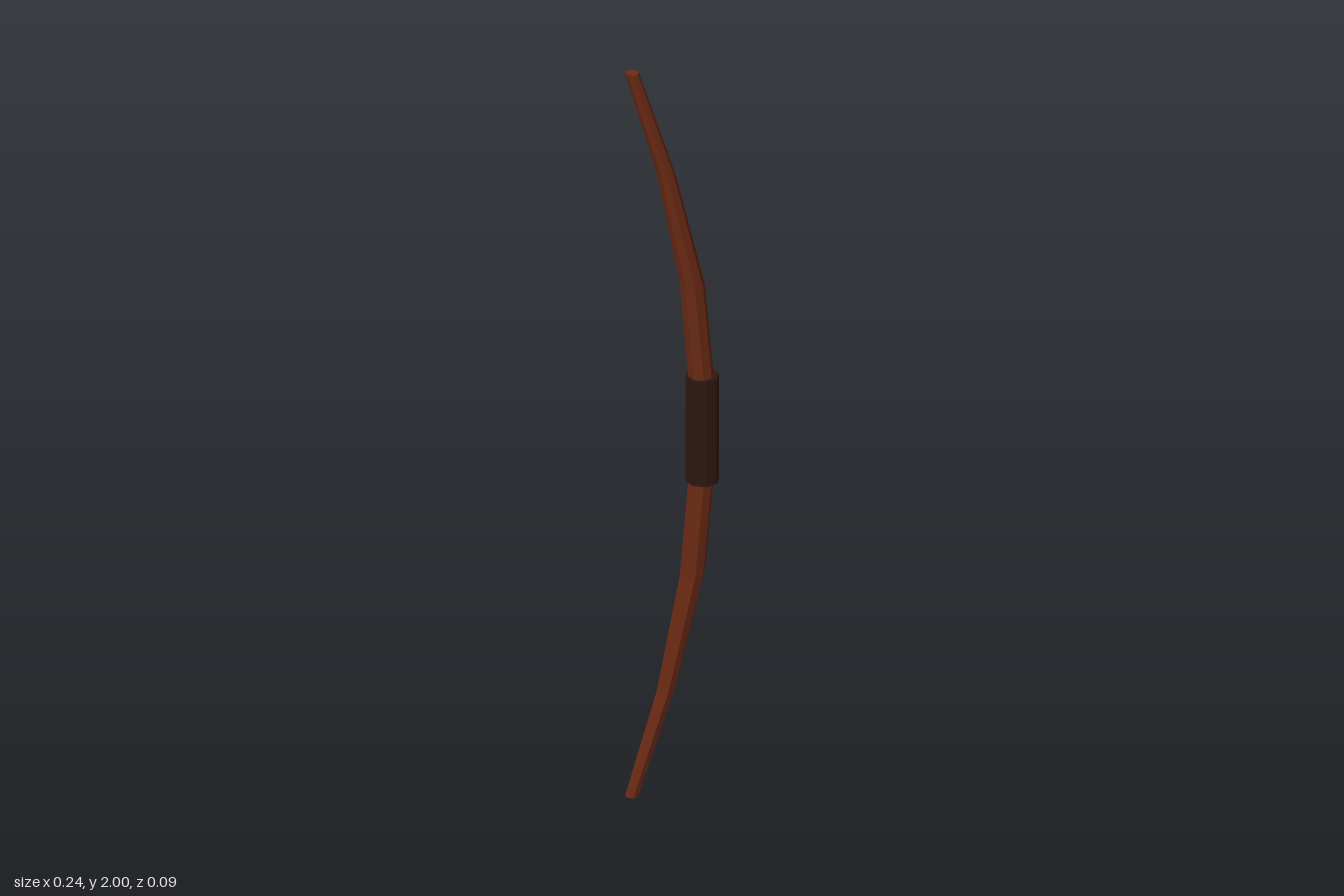
import * as THREE from 'three';

const SIDES = 8;

// Upper half of the spine, from grip to tip: [x, y above the middle, radius, section tilt]
const HALF = [
  [0.073, 0.13, 0.032, 0.05],
  [0.05, 0.4, 0.032, 0.15],
  [-0.015, 0.71, 0.025, 0.26],
  [-0.102, 1.0, 0.0175, 0],
];

// Eight-sided stave bent along the spine by moving the rings of a cylinder
function staveGeometry() {
  const lower = HALF.map(([x, y, r, t]) => [x, -y, r, -t]).reverse();
  const spine = [...lower, ...HALF];
  const rows = spine.length - 1;
  const geometry = new THREE.CylinderGeometry(1, 1, rows, SIDES, rows);
  const pos = geometry.attributes.position;
  for (let i = 0; i < pos.count; i++) {
    const [x, y, r, tilt] = spine[Math.round(pos.getY(i) + rows / 2)];
    const across = pos.getX(i) * r;
    pos.setXYZ(
      i,
      x + across * Math.cos(tilt),
      1 + y + across * Math.sin(-tilt),
      pos.getZ(i) * r * 1.02
    );
  }
  geometry.computeVertexNormals();
  return geometry;
}

export function createModel() {
  const group = new THREE.Group();
  group.name = 'bow';

  const wood = new THREE.MeshStandardMaterial({ color: 0x6b2a14, flatShading: true });
  const leather = new THREE.MeshStandardMaterial({ color: 0x2f1710, flatShading: true });

  // Curved wooden stave, tapering to both tips
  const stave = new THREE.Mesh(staveGeometry(), wood);
  stave.name = 'stave';
  group.add(stave);

  // Straight wrapped grip around the middle
  const grip = new THREE.Mesh(new THREE.CylinderGeometry(0.0425, 0.0425, 0.29, SIDES), leather);
  grip.name = 'grip';
  grip.position.set(0.075, 1, 0);
  group.add(grip);

  return group;
}
